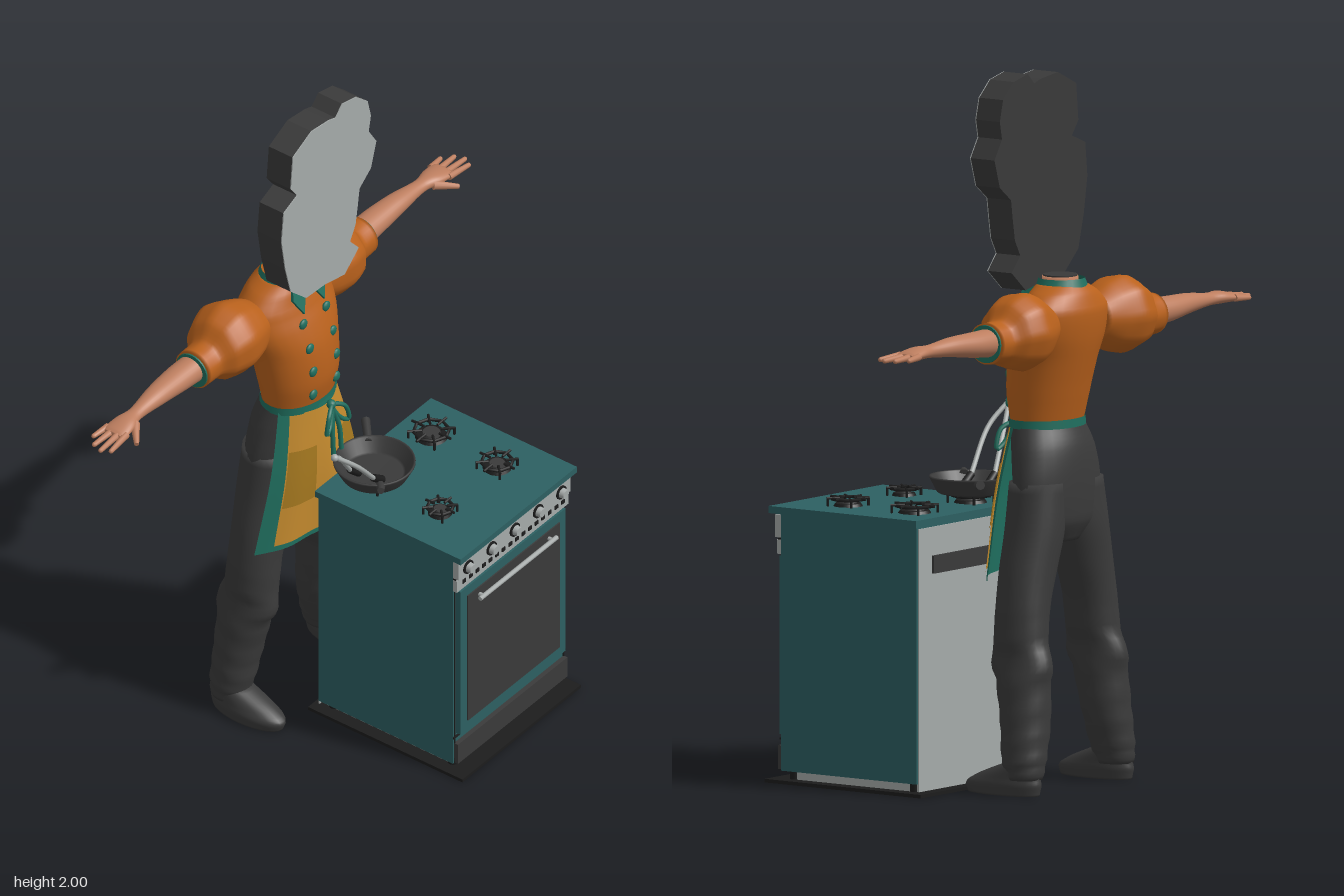
import * as THREE from 'three';

const mat = (name, color, side = THREE.FrontSide) => {
  const m = new THREE.MeshStandardMaterial({ color, side });
  m.name = name;
  return m;
};

export function createModel() {
  const M = {
    stove: mat('stove teal', 0x2d6062),
    trim: mat('trim teal', 0x1f6e5e, THREE.DoubleSide),
    shirt: mat('shirt orange', 0xb9611c),
    apron: mat('apron yellow', 0xc48a2e, THREE.DoubleSide),
    pocket: mat('pocket mustard', 0xa5781f, THREE.DoubleSide),
    dark: mat('dark grey', 0x3a3a3a),
    black: mat('black', 0x1c1c1c),
    skin: mat('skin', 0xbd7e5f),
    grey: mat('light grey', 0xa6abaa),
  };
  const root = new THREE.Group();
  root.name = 'cookAtStove';
  const group = (name) => {
    const g = new THREE.Group();
    g.name = name;
    root.add(g);
    return g;
  };
  const add = (parent, name, geo, material, pos) => {
    const m = new THREE.Mesh(geo, material);
    m.name = name;
    if (pos) m.position.set(...pos);
    parent.add(m);
    return m;
  };
  // box given by its min/max extents
  const box = (parent, name, material, x0, x1, y0, y1, z0, z1) =>
    add(parent, name, new THREE.BoxGeometry(x1 - x0, y1 - y0, z1 - z0), material,
      [(x0 + x1) / 2, (y0 + y1) / 2, (z0 + z1) / 2]);
  // tapered rod between two points
  const rod = (a, b, r0, r1, n = 10) => {
    const A = new THREE.Vector3(...a), B = new THREE.Vector3(...b), d = B.clone().sub(A);
    const g = new THREE.CylinderGeometry(r1, r0, d.length(), n);
    g.applyQuaternion(new THREE.Quaternion().setFromUnitVectors(new THREE.Vector3(0, 1, 0), d.normalize()));
    const c = A.add(B).multiplyScalar(0.5);
    return g.translate(c.x, c.y, c.z);
  };
  const tube = (pts, r, closed = false) => new THREE.TubeGeometry(
    new THREE.CatmullRomCurve3(pts.map((p) => new THREE.Vector3(...p)), closed), 24, r, 8, closed);

  // smooth skin over elliptical sections [cx, cy, cz, r1, r2], rising along y or x
  const loft = (sections, { axis = 'y', n = 28, steps = 5, fold = () => 1, caps = true } = {}) => {
    const centre = new THREE.CatmullRomCurve3(sections.map((s) => new THREE.Vector3(s[0], s[1], s[2])));
    const radius = new THREE.CatmullRomCurve3(sections.map((s) => new THREE.Vector3(s[3], s[4], 0)));
    const rows = (sections.length - 1) * steps, pos = [], idx = [];
    for (let i = 0; i <= rows; i++) {
      const c = centre.getPoint(i / rows), r = radius.getPoint(i / rows);
      for (let j = 0; j < n; j++) {
        const a = (j / n) * Math.PI * 2, f = fold(a, i / rows);
        const u = r.x * f * Math.cos(a), v = r.y * f * Math.sin(a);
        if (axis === 'y') pos.push(c.x + u, c.y, c.z + v);
        else pos.push(c.x, c.y + u, c.z - v);
        if (i < rows) {
          const k = i * n + j, l = i * n + ((j + 1) % n);
          idx.push(k, k + n, l, l, k + n, l + n);
        }
      }
    }
    if (caps) [[0, 0], [rows, 1]].forEach(([i, end]) => {
      const c = centre.getPoint(end), k = pos.length / 3;
      pos.push(c.x, c.y, c.z);
      for (let j = 0; j < n; j++) {
        const p = i * n + j, q = i * n + ((j + 1) % n);
        if (end) idx.push(k, q, p); else idx.push(k, p, q);
      }
    });
    const g = new THREE.BufferGeometry();
    g.setAttribute('position', new THREE.Float32BufferAttribute(pos, 3));
    g.setIndex(idx);
    g.computeVertexNormals();
    return g;
  };
  // add a left part and its mirrored right twin
  const pair = (parent, name, geo, material) => {
    add(parent, name + 'Left', geo, material);
    const m = geo.clone().scale(-1, 1, 1);
    const old = m.index ? Array.from(m.index.array) : [...Array(m.attributes.position.count).keys()];
    for (let i = 0; i < old.length; i += 3) [old[i], old[i + 1]] = [old[i + 1], old[i]];
    m.setIndex(old);
    add(parent, name + 'Right', m, material);
  };

  // ---------- flat cut-out head ----------
  const head = group('head');
  const outline = [[-.135, 1.95], [-.05, 1.99], [.03, 1.98], [.06, 1.97], [.09, 2], [.155, 1.985], [.205, 1.94],
    [.22, 1.88], [.21, 1.83], [.245, 1.775], [.22, 1.695], [.168, 1.655], [.16, 1.6], [.15, 1.54], [.125, 1.495],
    [.165, 1.45], [.1, 1.395], [.01, 1.415], [-.075, 1.42], [-.145, 1.485], [-.17, 1.58], [-.187, 1.685],
    [-.177, 1.78], [-.115, 1.805], [-.145, 1.845]];
  const headShape = new THREE.Shape(outline.map((p) => new THREE.Vector2(...p)));
  const slab = (depth) => new THREE.ExtrudeGeometry(headShape, { depth, bevelEnabled: false });
  add(head, 'headSlab', slab(.082), M.dark, [0, 0, -.235]);
  add(head, 'headFace', slab(.003), M.grey, [0, 0, -.153]);

  // ---------- shirt and neck ----------
  const body = group('upperBody');
  add(body, 'torso', loft([[0, 1.015, -.235, .122, .087], [0, 1.1, -.238, .134, .105], [0, 1.2, -.254, .146, .113],
    [0, 1.28, -.275, .168, .108], [0, 1.34, -.29, .165, .096], [0, 1.385, -.29, .12, .08], [0, 1.41, -.285, .072, .066]]), M.shirt);
  add(body, 'neck', loft([[0, 1.37, -.285, .055, .055], [0, 1.43, -.28, .05, .05]]), M.skin);
  add(body, 'neckOpening', new THREE.CylinderGeometry(.048, .048, .004, 24), M.dark, [0, 1.432, -.28]);
  add(body, 'collarBand', loft([[0, 1.385, -.286, .085, .077], [0, 1.425, -.285, .066, .064]], { caps: false }), M.trim);
  const flap = new THREE.ExtrudeGeometry(new THREE.Shape([[0, 0], [.012, -.02], [.045, -.085], [.072, -.03], [.055, .008]]
    .map((p) => new THREE.Vector2(...p))), { depth: .008, bevelEnabled: false });
  pair(body, 'collarFlap', flap.rotateX(-.38).translate(0, 1.408, -.216), M.trim);
  [[1.30, -.178], [1.225, -.155], [1.15, -.143], [1.07, -.143]].forEach(([y, z]) =>
    pair(body, 'button', new THREE.SphereGeometry(.016, 14, 8).scale(1, 1, .5).translate(.052, y, z), M.trim));

  // ---------- sleeves, arms, hands ----------
  pair(body, 'puffSleeve', loft([[.11, 1.3, -.3, .06, .065], [.17, 1.298, -.305, .096, .09], [.23, 1.3, -.31, .108, .105],
    [.29, 1.295, -.31, .092, .09], [.33, 1.283, -.31, .06, .06], [.385, 1.283, -.31, .058, .058]],
  { axis: 'x', n: 36, fold: (a, t) => 1 + .025 * Math.sin(9 * a) * Math.sin(Math.PI * t) }), M.shirt);
  pair(body, 'cuffEdge', rod([.375, 1.283, -.31], [.39, 1.283, -.31], .053, .053, 28), M.trim);
  const arms = group('arms');
  pair(arms, 'arm', loft([[.36, 1.285, -.313, .041, .043], [.45, 1.288, -.315, .036, .041], [.55, 1.293, -.312, .028, .033],
    [.65, 1.292, -.308, .018, .022], [.7, 1.292, -.305, .018, .034], [.745, 1.288, -.305, .013, .038], [.757, 1.287, -.305, .008, .034]],
  { axis: 'x' }), M.skin);
  [[-.337, -.345, .79], [-.315, -.32, .82], [-.293, -.29, .83], [-.273, -.265, .815]].forEach(([z0, z1, x]) => {
    pair(arms, 'finger', rod([.735, 1.288, z0], [x, 1.284, z1], .0105, .007), M.skin);
    pair(arms, 'fingertip', new THREE.SphereGeometry(.007, 8, 6).translate(x, 1.284, z1), M.skin);
  });
  pair(arms, 'thumb', rod([.68, 1.288, -.285], [.735, 1.272, -.237], .014, .007), M.skin);

  // ---------- trousers and shoes ----------
  const legs = group('legs');
  add(legs, 'hips', loft([[0, .69, -.27, .08, .05], [0, .75, -.272, .16, .078], [0, .85, -.268, .168, .086],
    [0, .95, -.255, .15, .092], [0, 1.025, -.235, .122, .086]]), M.dark);
  pair(legs, 'trouserLeg', loft([[.212, .045, -.315, .05, .052], [.205, .1, -.308, .062, .064], [.188, .2, -.3, .071, .07],
    [.178, .32, -.285, .07, .08], [.168, .42, -.27, .07, .08], [.155, .52, -.267, .074, .078], [.13, .62, -.266, .083, .08],
    [.102, .73, -.268, .086, .083], [.085, .86, -.266, .08, .08]],
  { fold: (a, t) => 1 + .035 * Math.max(0, 1 - 1.5 * t) * Math.sin(t * 75 + 2 * Math.sin(a)) }), M.dark);
  pair(legs, 'shoe', loft([[.215, 0, -.245, .05, .118], [.215, .025, -.245, .054, .124], [.214, .05, -.262, .05, .104],
    [.212, .09, -.312, .042, .055]]), M.dark);

  // ---------- apron ----------
  const apron = group('apron');
  // curved cloth patch: u across (-1..1), v down (0..1)
  const cloth = (name, material, u0, u1, v0, v1, lift) => {
    const g = new THREE.PlaneGeometry(1, 1, 24, 16), p = g.attributes.position;
    for (let i = 0; i < p.count; i++) {
      const u = u0 + (p.getX(i) + .5) * (u1 - u0), v = v0 + (.5 - p.getY(i)) * (v1 - v0);
      const z = -.142 + .026 * Math.sin(Math.min(1, v * 1.6) * Math.PI / 2) - (.07 + .015 * v) * u * u
        + .005 * v * Math.cos(u * 9);
      p.setXYZ(i, u * (.122 + .118 * v), 1.02 - .43 * v + .012 * v * (1 - u * u), z + lift);
    }
    g.computeVertexNormals();
    add(apron, name, g, material);
  };
  cloth('apronBorder', M.trim, -1, 1, 0, 1, 0);
  cloth('apronPanel', M.apron, -.84, .84, .02, .955, .005);
  cloth('pocketRight', M.pocket, -.84, -.36, .28, .68, .009);
  cloth('pocketLeft', M.pocket, .36, .84, .28, .68, .009);
  add(apron, 'waistband', loft([[0, 1.008, -.236, .128, .094], [0, 1.032, -.236, .127, .093]], { caps: false }), M.trim);
  add(apron, 'bowKnot', new THREE.SphereGeometry(.014, 12, 8), M.trim, [.01, 1.005, -.128]);
  for (const s of [-1, 1]) {
    add(apron, 'bowLoop', tube([[.01, 1.005, -.125], [.01 + s * .035, .99, -.108], [.01 + s * .05, .935, -.105],
      [.01 + s * .025, .95, -.112]], .0065, true), M.trim);
    add(apron, 'bowTail', tube([[.01, 1, -.125], [.01 + s * .015, .93, -.112], [.01 + s * .018, .85, -.106]], .007), M.trim);
  }

  // ---------- stove ----------
  const stove = group('stove');
  box(stove, 'basePlate', M.black, -.1, .44, 0, .01, -.125, .415);
  box(stove, 'stoveBody', M.stove, -.085, .425, .035, .755, -.1, .37);
  box(stove, 'plinth', M.grey, -.06, .4, .01, .035, -.09, .35);
  box(stove, 'stoveTop', M.stove, -.095, .435, .755, .775, -.105, .405);
  box(stove, 'backPanel', M.grey, -.08, .42, .02, .75, -.104, -.1);
  box(stove, 'backVent', M.dark, -.02, .36, .62, .67, -.112, -.104);
  box(stove, 'controlPanel', M.grey, -.085, .425, .688, .752, .37, .39);
  box(stove, 'panelGap', M.black, -.085, .425, .682, .688, .37, .38);
  box(stove, 'ventStrip', M.grey, -.085, .425, .642, .682, .37, .384);
  for (let i = 0; i < 16; i++) box(stove, 'ventHole', M.black, -.06 + i * .03, -.046 + i * .03, .66, .672, .384, .387);
  for (let i = 0; i < 5; i++) {
    const x = -.043 + i * .106;
    add(stove, 'knobRing', new THREE.CylinderGeometry(.021, .021, .006, 20).rotateX(Math.PI / 2), M.black, [x, .712, .392]);
    add(stove, 'knob', new THREE.CylinderGeometry(.013, .016, .018, 20).rotateX(Math.PI / 2), M.grey, [x, .712, .4]);
  }
  box(stove, 'ovenDoor', M.stove, -.07, .41, .135, .635, .37, .385);
  box(stove, 'ovenWindow', M.dark, -.04, .38, .168, .605, .385, .389);
  add(stove, 'ovenHandle', rod([-.005, .582, .404], [.345, .582, .404], .007, .007), M.grey);
  for (const x of [.012, .328]) add(stove, 'handlePost', rod([x, .582, .385], [x, .582, .404], .006, .006), M.grey);
  for (const x of [-.078, .418]) box(stove, 'doorSeam', M.black, x - .002, x + .002, .035, .642, .37, .373);
  box(stove, 'drawerGap', M.black, -.085, .425, .122, .128, .37, .374);
  box(stove, 'drawer', M.dark, -.08, .42, .038, .105, .37, .384);
  for (const x of [-.05, .39]) for (const z of [-.07, .345])
    add(stove, 'foot', new THREE.CylinderGeometry(.016, .016, .03, 14), M.black, [x, .024, z]);

  // burners with spoked grates
  [[.3, 0, .068], [.3, .23, .06], [.04, .23, .05], [.04, 0, .068]].forEach(([x, z, r]) => {
    const b = new THREE.Group();
    b.name = 'burner';
    b.position.set(x, .775, z);
    stove.add(b);
    add(b, 'burnerBase', new THREE.CylinderGeometry(r * .6, r * .68, .008, 24), M.black, [0, .004, 0]);
    add(b, 'burnerCap', new THREE.CylinderGeometry(r * .36, r * .4, .008, 20), M.dark, [0, .012, 0]);
    add(b, 'grateRing', new THREE.TorusGeometry(r * .75, .005, 6, 8).rotateX(Math.PI / 2), M.black, [0, .02, 0]);
    for (let i = 0; i < 8; i++) {
      const c = Math.cos(i * Math.PI / 4), s = Math.sin(i * Math.PI / 4);
      add(b, 'grateBar', rod([c * r * .4, .022, s * r * .4], [c * r, .022, s * r], .004, .004, 6), M.black);
      if (i % 2) add(b, 'grateLeg', rod([c * r * .95, 0, s * r * .95], [c * r * .95, .022, s * r * .95], .004, .004, 6), M.black);
    }
  });

  // ---------- pan and tongs ----------
  const pan = group('pan');
  add(pan, 'panBowl', new THREE.LatheGeometry([[0, .802], [.088, .802], [.094, .806], [.115, .846], [.114, .851], [.108, .849],
    [.087, .812], [.08, .809], [0, .809]].map((p) => new THREE.Vector2(...p)), 36), M.dark, [.04, 0, 0]);
  add(pan, 'panHandle', rod([.11, .836, -.075], [.172, .848, -.132], .011, .013), M.dark);
  add(pan, 'panLip', rod([-.03, .84, .075], [-.055, .846, .095], .014, .01), M.dark);
  const tongs = group('tongs');
  const tips = [[-.02, .845, .042], [-.035, .85, -.028]];
  add(tongs, 'tongArm', tube([[-.2, 1.03, .045], [-.13, .965, .064], tips[0]], .007), M.grey);
  add(tongs, 'tongArm', tube([[-.2, 1.03, .045], [-.125, .96, .008], tips[1]], .007), M.grey);
  add(tongs, 'tongJoint', new THREE.SphereGeometry(.011, 12, 8), M.grey, [-.2, 1.028, .045]);
  tips.forEach(([x, y, z]) => add(tongs, 'tongTip', rod([x, y, z], [x + .04, .815, z], .011, .012), M.black));

  return root;
}
